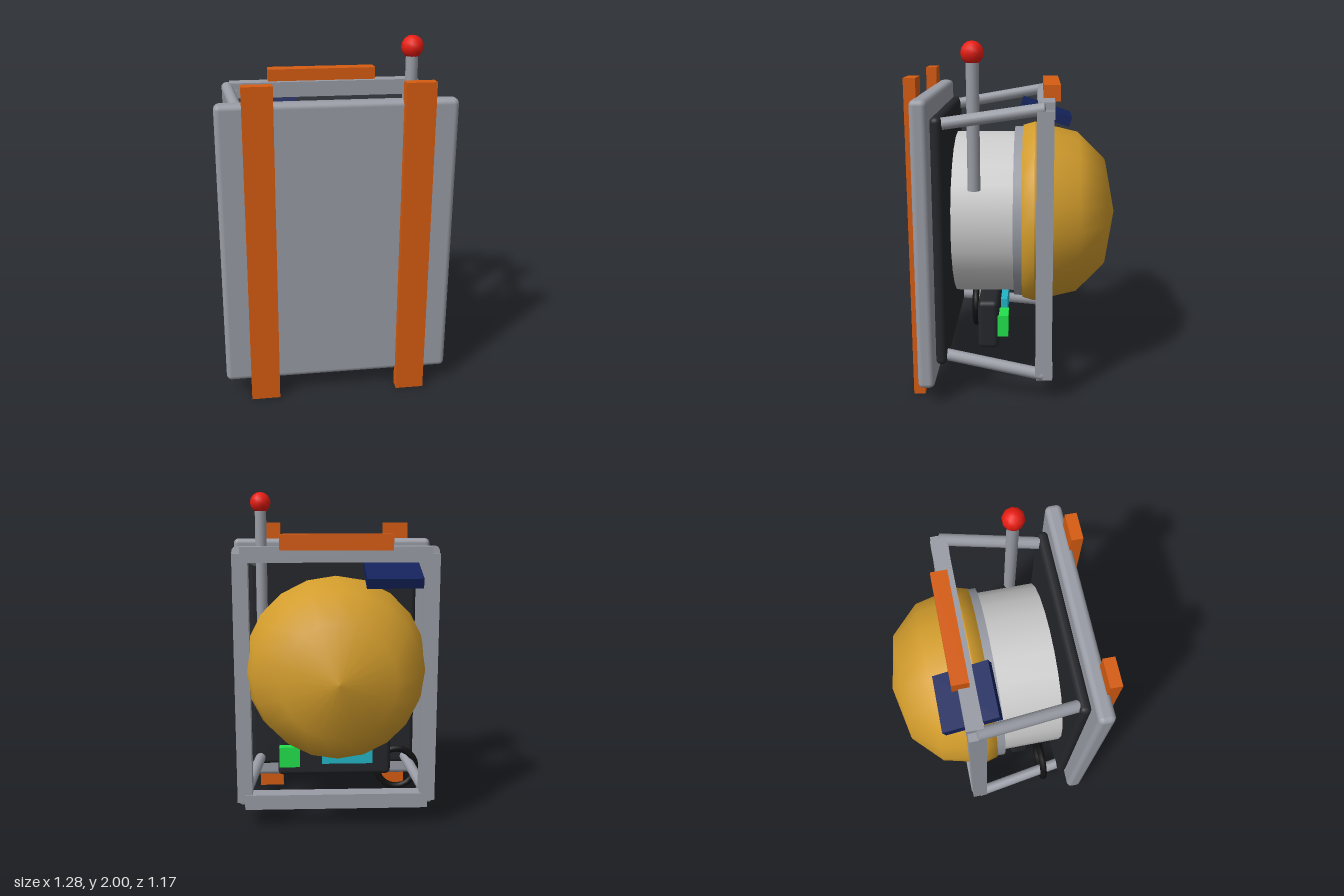
import * as THREE from 'three';
import { RoundedBoxGeometry } from 'three/addons/geometries/RoundedBoxGeometry.js';

const mat = (color) => new THREE.MeshStandardMaterial({ color });
const MATS = {
  steel: mat(0x999ca5), orange: mat(0xd65c12), dark: mat(0x24262a), black: mat(0x101012),
  white: mat(0xdcdcdc), gold: mat(0xd29c2c), navy: mat(0x14235c), red: mat(0xe81c12),
  green: mat(0x22e04c), teal: mat(0x22b4c6),
};

export function createModel() {
  const model = new THREE.Group();
  model.name = 'model';

  const add = (name, geometry, material, x = 0, y = 0, z = 0) => {
    const mesh = new THREE.Mesh(geometry, MATS[material]);
    mesh.name = name;
    mesh.position.set(x, y, z);
    model.add(mesh);
    return mesh;
  };
  // Box given by its limits on each axis; radius > 0 rounds the edges
  const box = (name, material, [x0, x1], [y0, y1], [z0, z1], radius = 0) => {
    const size = [x1 - x0, y1 - y0, z1 - z0];
    const geometry = radius ? new RoundedBoxGeometry(...size, 3, radius) : new THREE.BoxGeometry(...size);
    return add(name, geometry, material, (x0 + x1) / 2, (y0 + y1) / 2, (z0 + z1) / 2);
  };
  // Round rod between two points
  const rod = (name, material, a, b, radius) => {
    const from = new THREE.Vector3(...a), to = new THREE.Vector3(...b);
    const dir = to.clone().sub(from);
    const mesh = add(name, new THREE.CylinderGeometry(radius, radius, dir.length(), 12), material);
    mesh.position.copy(from).add(to).multiplyScalar(0.5);
    mesh.quaternion.setFromUnitVectors(new THREE.Vector3(0, 1, 0), dir.normalize());
    return mesh;
  };

  // Front plate with its dark backing
  box('frontPlate', 'steel', [-0.64, 0.64], [0.1, 1.71], [0.447, 0.54], 0.03);
  box('backingPad', 'dark', [-0.545, 0.545], [0.2, 1.61], [0.385, 0.45], 0.03);

  // Rear frame: bars centred on the corners of a rectangle
  for (const y of [0.165, 1.645]) {
    box('frameRail', 'steel', [-0.55, 0.55], [y - 0.045, y + 0.045], [-0.212, -0.12]);
  }
  for (const s of [-1, 1]) {
    box('framePost', 'steel', [s * 0.55 - 0.045, s * 0.55 + 0.045], [0.165, 1.65], [-0.207, -0.115]);
    box('skid', 'orange', [s * 0.42 - 0.08, s * 0.42 + 0.08], [0, 1.81], [0.52, 0.585]);
    rod('upperStrut', 'steel', [s * 0.485, 1.565, 0.42], [s * 0.565, 1.66, -0.16], 0.034);
    rod('lowerStrut', 'steel', [s * 0.485, 0.25, 0.42], [s * 0.565, 0.165, -0.16], 0.034);
  }
  box('topHandle', 'orange', [-0.322, 0.322], [1.67, 1.76], [-0.245, -0.152]);

  // Drum, collar and dome share one horizontal axis
  const axisY = 0.972;
  const drum = add('drum', new THREE.CylinderGeometry(0.485, 0.485, 0.355, 24), 'white', 0, axisY, 0.178);
  const collar = add('collar', new THREE.CylinderGeometry(0.515, 0.515, 0.055, 24), 'steel', 0, axisY, -0.015);
  drum.rotation.x = collar.rotation.x = Math.PI / 2;

  // Dome profile: radius, depth behind the origin
  const smooth = [[0.545, 0.105], [0.485, 0.357], [0.322, 0.52], [0, 0.585]];
  const rim = [[0.48, 0.035], [0.525, 0.035], [0.545, 0.105]];
  const lathe = (pts) => new THREE.LatheGeometry(pts.map(([r, d]) => new THREE.Vector2(r, d)), 20);
  for (const [name, pts] of [['dome', smooth], ['domeRim', rim]]) {
    add(name, lathe(pts), 'gold', 0, axisY).rotation.x = -Math.PI / 2;
  }

  // Tilted panel above the dome
  add('tiltedPanel', new THREE.BoxGeometry(0.32, 0.06, 0.32), 'navy', -0.325, 1.54, -0.17).rotation.x = -0.32;

  // Antenna
  rod('antennaRod', 'steel', [0.45, 1.2, 0.225], [0.45, 1.93, 0.225], 0.035);
  add('antennaBall', new THREE.SphereGeometry(0.063, 10, 8), 'red', 0.45, 1.937, 0.225);

  // Control box with display and button
  box('controlBox', 'dark', [-0.36, 0.36], [0.22, 0.515], [0.1, 0.222], 0.03);
  box('display', 'teal', [-0.24, 0.08], [0.31, 0.425], [0.06, 0.11]);
  box('button', 'green', [0.22, 0.35], [0.295, 0.425], [0.045, 0.11]);

  // Ring hanging at the lower right
  add('ring', new THREE.TorusGeometry(0.13, 0.022, 8, 20), 'black', -0.42, 0.2, 0.29);

  return model;
}
